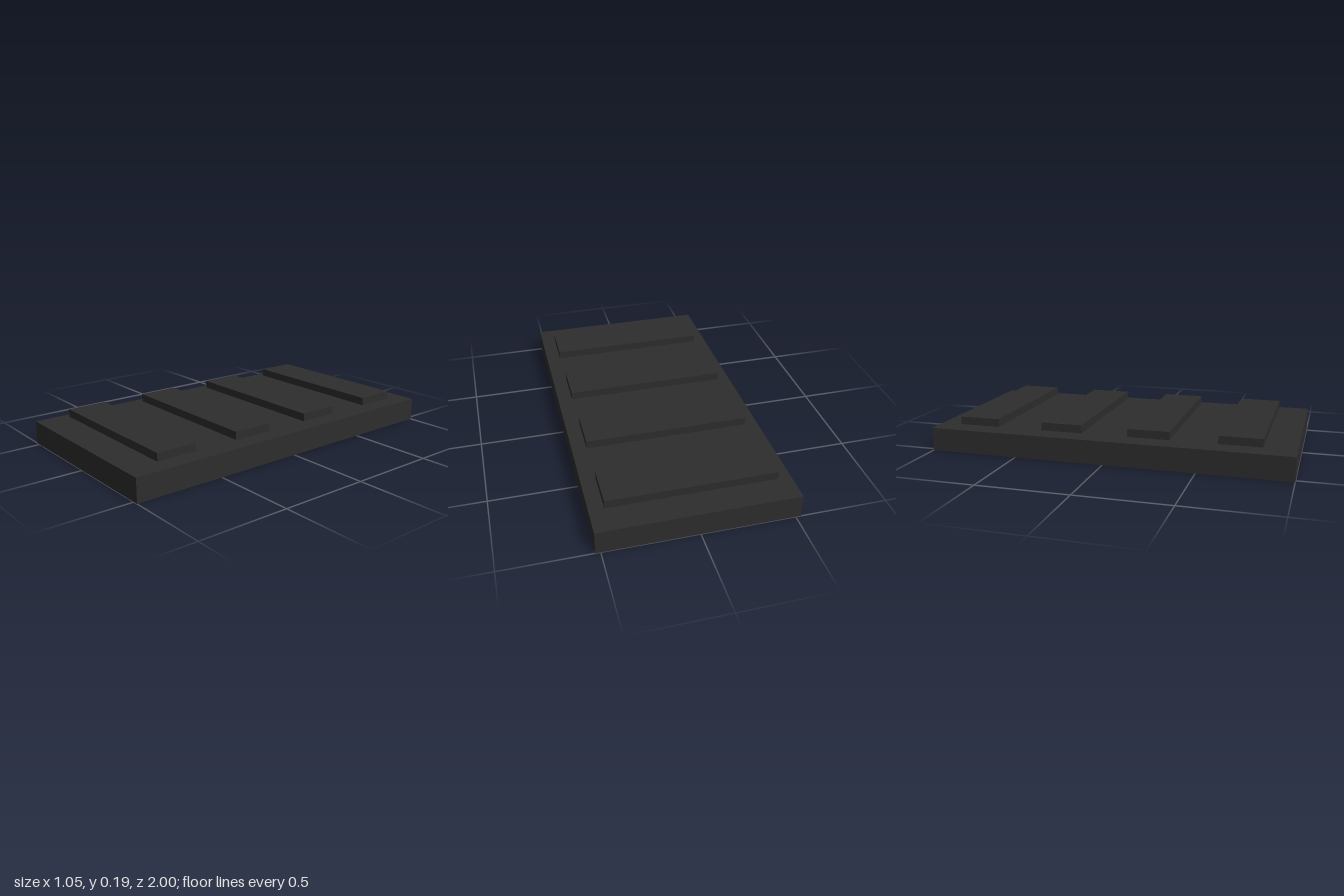
import * as THREE from 'three';

export function createModel() {
  const model = new THREE.Group();
  model.name = 'slattedSlab';
  const charcoal = new THREE.MeshStandardMaterial({ color: 0x2d2d2d });
  charcoal.name = 'charcoal';

  // Box whose underside sits at the given height
  const addBox = (name, width, height, depth, bottom, z) => {
    const mesh = new THREE.Mesh(new THREE.BoxGeometry(width, height, depth), charcoal);
    mesh.name = name;
    mesh.position.set(0, bottom + height / 2, z);
    model.add(mesh);
  };

  // Thick base slab
  addBox('base', 1.054, 0.13, 2, 0, 0);

  // Four evenly spaced cross slats, raised just clear of the slab
  const spacing = 0.486;
  for (let i = 0; i < 4; i++) {
    addBox(`slat${i + 1}`, 0.898, 0.044, 0.23, 0.143, 0.716 - i * spacing);
  }

  return model;
}
